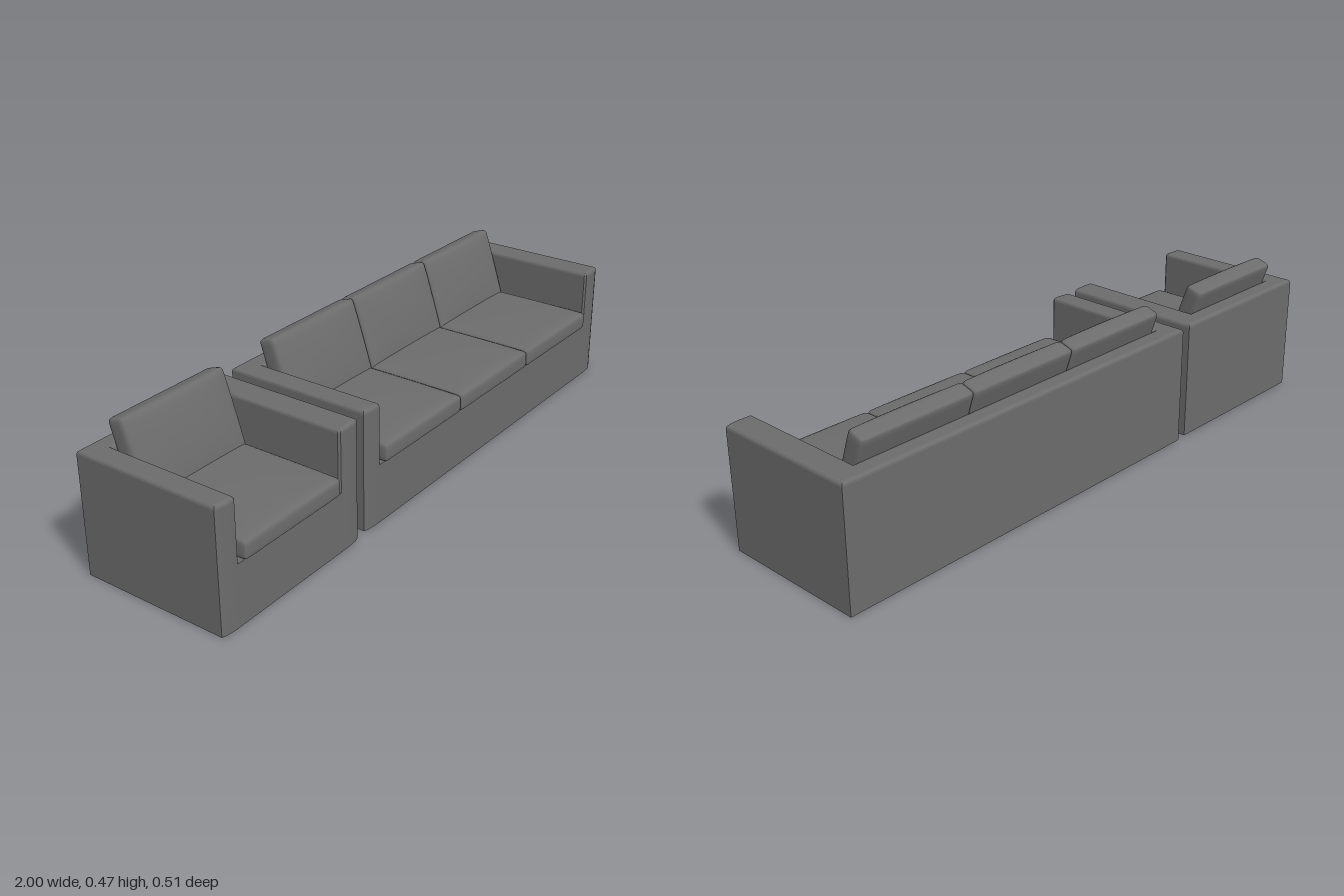
import * as THREE from 'three';
import { mergeVertices } from 'three/addons/utils/BufferGeometryUtils.js';

const material = new THREE.MeshStandardMaterial({ color: 0x6c6c6c });

function addMesh(parent, name, geometry) {
  const mesh = new THREE.Mesh(geometry, material);
  mesh.name = name;
  parent.add(mesh);
  return mesh;
}

// Padded block: rounded edges and a crowned +y face
function cushionGeometry(w, h, d, r, crown) {
  const geo = new THREE.BoxGeometry(2, 2, 2, 16, 8, 16);
  const half = new THREE.Vector3(w / 2, h / 2, d / 2);
  const inner = half.clone().subScalar(r);
  const innerMin = inner.clone().negate();
  const p = geo.attributes.position;
  const v = new THREE.Vector3();
  const core = new THREE.Vector3();
  const ease = (t) => Math.sin(t * Math.PI / 2); // crowds the grid near the edges
  for (let i = 0; i < p.count; i++) {
    v.fromBufferAttribute(p, i);
    v.set(ease(v.x), ease(v.y), ease(v.z));
    const dome = crown * Math.sqrt((1 - v.x ** 2) * (1 - v.z ** 2)) * Math.max(0, v.y);
    v.multiply(half);
    core.copy(v).clamp(innerMin, inner);
    v.sub(core);
    if (v.lengthSq() > 0) v.setLength(r);
    v.add(core);
    p.setXYZ(i, v.x, v.y + dome, v.z);
  }
  geo.deleteAttribute('normal');
  geo.deleteAttribute('uv');
  const merged = mergeVertices(geo, 1e-5);
  merged.computeVertexNormals();
  return merged;
}

// Vertical extrusion of an [x, z] plan, from the floor to a bevelled top
function planGeometry(points, height, bevel) {
  const shape = new THREE.Shape(points.map(([x, z]) => new THREE.Vector2(x, -z)));
  const geo = new THREE.ExtrudeGeometry(shape, {
    depth: height - bevel, bevelEnabled: true, bevelSize: bevel,
    bevelThickness: bevel, bevelOffset: -bevel, bevelSegments: 3,
  });
  geo.rotateX(-Math.PI / 2);
  const p = geo.attributes.position;
  for (let i = 0; i < p.count; i++) p.setY(i, Math.max(0, p.getY(i))); // flat underside
  geo.computeVertexNormals();
  return geo;
}

function createSeat(name, seats) {
  const group = new THREE.Group();
  group.name = name;
  const cw = 0.4; // cushion width; x = 0 is the first cushion's edge
  const end = seats * cw;
  const inL = -0.011, inR = end + 0.009;
  const outL = inL - 0.071, outR = inR + 0.089;
  const back = -0.249, inner = -0.187, front = 0.243;

  // Arms and back in one U-shaped shell, arm fronts eased toward the outside
  addMesh(group, 'armsAndBack', planGeometry([
    [outL, back], [outL, front - 0.008], [outL + 0.014, front - 0.003], [outL + 0.045, front],
    [inL - 0.006, front], [inL, front - 0.006], [inL, inner],
    [inR, inner], [inR, front - 0.006], [inR + 0.006, front],
    [outR - 0.045, front], [outR - 0.014, front - 0.003], [outR, front - 0.008], [outR, back],
  ], 0.39, 0.011));

  // Base between the arms
  const base = new THREE.BoxGeometry(inR - inL + 0.03, 0.193, front - inner + 0.01);
  base.translate((inL + inR) / 2, 0.0965, (front + inner - 0.01) / 2);
  addMesh(group, 'base', base);

  // Seat and back cushions
  const seatGeo = cushionGeometry(cw, 0.058, 0.431, 0.013, 0.011);
  const backGeo = cushionGeometry(cw, 0.059, 0.258, 0.013, 0.015);
  for (let i = 0; i < seats; i++) {
    const x = (i + 0.5) * cw;
    addMesh(group, 'seatCushion', seatGeo).position.set(x, 0.223, 0.0405);
    const backrest = addMesh(group, 'backCushion', backGeo);
    backrest.position.set(x, 0.345, -0.147);
    backrest.rotation.x = Math.PI / 2 - 0.32;
  }
  return group;
}

export function createModel() {
  const model = new THREE.Group();
  model.name = 'sofaSet';
  const armchair = createSeat('armchair', 1);
  armchair.position.x = -0.918;
  const sofa = createSeat('sofa', 3);
  sofa.position.set(-0.298, 0, -0.0065);
  model.add(armchair, sofa);
  return model;
}
